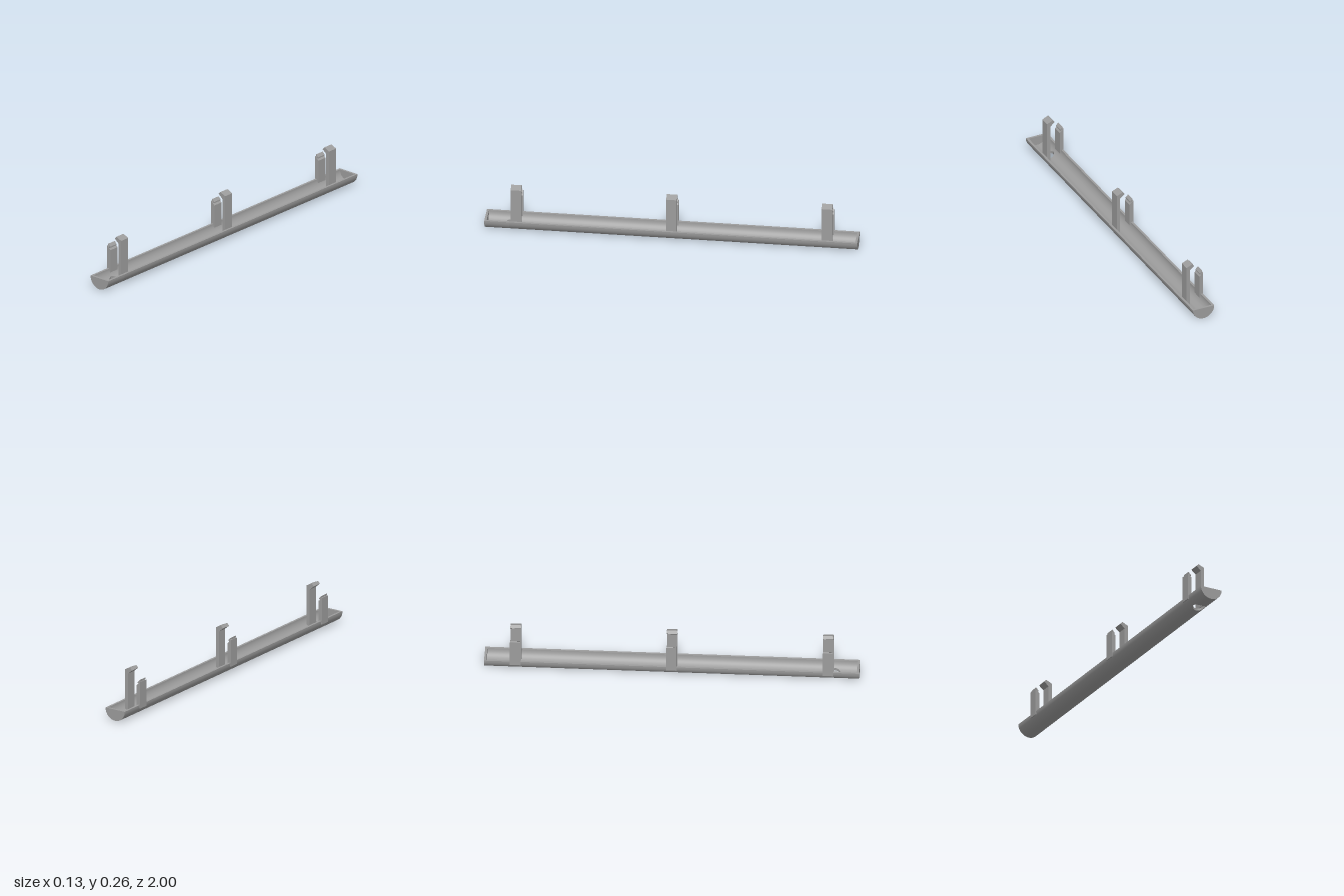
import * as THREE from 'three';

const R_OUT = 0.063, R_IN = 0.051;   // trough radii
const AXIS_Y = 0.065;                // height of the rim
const END = 0.988;                   // inner face of the end caps
const HOLE_Z = 0.867, HOLE_R = 0.034;

// Ruled surface between two point lists of equal length
function ruled(a, b) {
  const n = a.length, index = [];
  for (let i = 0; i < n - 1; i++) index.push(i, i + 1, n + i + 1, i, n + i + 1, n + i);
  const geo = new THREE.BufferGeometry().setFromPoints([...a, ...b]);
  geo.setIndex(index);
  geo.computeVertexNormals();
  return geo;
}

// Columns across the half round, matching the drain hole in the middle
function columns(r) {
  const out = [], t = Math.asin(HOLE_R / r), side = 8, mid = 20;
  for (let i = 0; i < side; i++) out.push({ t: THREE.MathUtils.lerp(-Math.PI / 2, -t, i / side), h: 0 });
  for (let i = 0; i <= mid; i++) {
    const p = Math.PI * i / mid;
    out.push({ t: Math.asin(-HOLE_R * Math.cos(p) / r), h: HOLE_R * Math.sin(p) });
  }
  for (let i = 1; i <= side; i++) out.push({ t: THREE.MathUtils.lerp(t, Math.PI / 2, i / side), h: 0 });
  return out.map(({ t, h }) => ({ x: r * Math.sin(t), y: AXIS_Y - r * Math.cos(t), h }));
}

function extrude(points, depth) {
  const shape = new THREE.Shape(points.map(([x, y]) => new THREE.Vector2(x, y)));
  const geo = new THREE.ExtrudeGeometry(shape, { depth, bevelEnabled: false });
  return geo.translate(0, 0, -depth / 2);
}

export function createModel() {
  const model = new THREE.Group();
  model.name = 'clipTrough';
  const grey = new THREE.MeshStandardMaterial({ color: 0x9c9c9c });
  grey.name = 'grey';
  const add = (parent, name, geo) => {
    const mesh = new THREE.Mesh(geo, grey);
    mesh.name = name;
    parent.add(mesh);
    return mesh;
  };

  // Half round trough: shells in front of and behind the drain hole
  const trough = new THREE.Group();
  trough.name = 'trough';
  model.add(trough);
  const outer = columns(R_OUT), inner = columns(R_IN);
  const edge = (cols, s) => cols.map(c => new THREE.Vector3(c.x, c.y, HOLE_Z + s * c.h));
  const end = (cols, s) => cols.map(c => new THREE.Vector3(c.x, c.y, s * END));
  add(trough, 'outerShellBack', ruled(end(outer, -1), edge(outer, -1)));
  add(trough, 'outerShellFront', ruled(edge(outer, 1), end(outer, 1)));
  add(trough, 'innerShellBack', ruled(edge(inner, -1), end(inner, -1)));
  add(trough, 'innerShellFront', ruled(end(inner, 1), edge(inner, 1)));
  add(trough, 'holeWallBack', ruled(edge(outer, -1), edge(inner, -1)));
  add(trough, 'holeWallFront', ruled(edge(inner, 1), edge(outer, 1)));

  // Flat rims and end caps
  for (const s of [-1, 1]) {
    const rim = new THREE.PlaneGeometry(R_OUT - R_IN, 2 * END).rotateX(-Math.PI / 2);
    add(trough, s > 0 ? 'leftRim' : 'rightRim', rim)
      .position.set(s * (R_OUT + R_IN) / 2, AXIS_Y, 0);
    const half = outer.map(c => [c.x, c.y]);
    add(trough, s > 0 ? 'frontCap' : 'backCap', extrude(half, 1 - END))
      .position.z = s * (1 + END) / 2;
  }

  // Three clips, each a tall hook facing a shorter catch
  const hook = extrude([[0.013, 0.015], [0.033, 0.025], [0.033, 0.247],
    [-0.001, 0.262], [-0.013, 0.249], [0.013, 0.227]], 0.057);
  const post = extrude([[-0.066, 0.045], [-0.043, 0.045], [-0.043, 0.173], [-0.066, 0.194]], 0.057);
  const lip = extrude([[-0.061, 0.197], [-0.047, 0.184], [-0.047, 0.191], [-0.061, 0.205]], 0.052);
  const rod = new THREE.CylinderGeometry(0.006, 0.006, 0.052, 16)
    .rotateX(Math.PI / 2).translate(-0.054, 0.189, 0);
  for (const z of [-0.834, 0, 0.834]) {
    const clip = new THREE.Group();
    clip.name = 'clip';
    clip.position.z = z;
    add(clip, 'hook', hook);
    add(clip, 'catchPost', post);
    add(clip, 'catchLip', lip);
    add(clip, 'catchRod', rod);
    model.add(clip);
  }
  return model;
}
